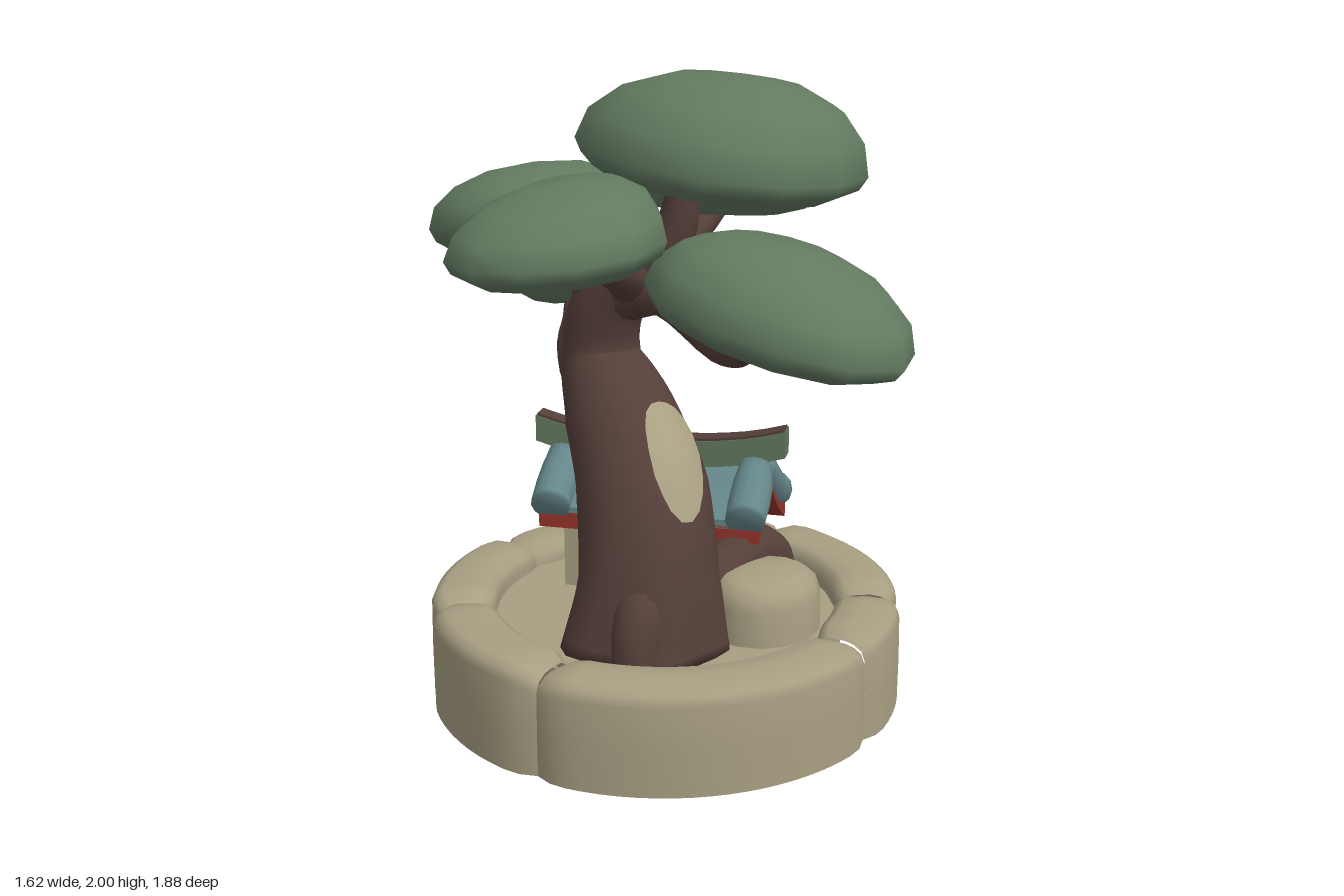
import * as THREE from 'three';

const flat = (color, name, double) => {
  const m = new THREE.MeshStandardMaterial({ color });
  m.name = name;
  if (double) m.side = THREE.DoubleSide;
  return m;
};
const V = (p) => new THREE.Vector3(...p);

// Position on a tube of varying radius, at a fraction along it and an angle around it
function tubePoint(curve, radii, t, a, offset = 0, lobes = 0) {
  const pts = curve.points, d = pts[pts.length - 1].clone().sub(pts[0]);
  const ref = Math.abs(d.x) > Math.abs(d.z) ? V([0, 0, -1]) : V([1, 0, 0]);
  const T = curve.getTangent(t);
  const S = ref.addScaledVector(T, -ref.dot(T)).normalize();
  const U = S.clone().cross(T);
  const k = t * (radii.length - 1), i = Math.min(Math.floor(k), radii.length - 2);
  let r = THREE.MathUtils.lerp(radii[i], radii[i + 1], k - i) + offset;
  r *= 1 + lobes * Math.cos(5 * a) * Math.max(0, 1 - t * 5);
  return curve.getPoint(t).addScaledVector(S, r * Math.cos(a)).addScaledVector(U, r * Math.sin(a));
}

// Grid of points joined into a smooth surface
function gridGeometry(rows, cols, pointAt) {
  const pos = [], idx = [];
  for (let i = 0; i <= rows; i++)
    for (let j = 0; j <= cols; j++) pos.push(...pointAt(i, j).toArray());
  for (let i = 0; i < rows; i++)
    for (let j = 0; j < cols; j++) {
      const a = i * (cols + 1) + j, b = a + cols + 1;
      idx.push(a, b, a + 1, b, b + 1, a + 1);
    }
  const g = new THREE.BufferGeometry();
  g.setAttribute('position', new THREE.Float32BufferAttribute(pos, 3));
  g.setIndex(idx);
  g.computeVertexNormals();
  return g;
}

// Closed tube along a path
function taperedTube(curve, radii, rows = 16, cols = 12, lobes = 0) {
  return gridGeometry(rows + 2, cols, (i, j) => {
    const t = THREE.MathUtils.clamp((i - 1) / rows, 0, 1);
    if (i === 0 || i === rows + 2) return curve.getPoint(t);
    return tubePoint(curve, radii, t, (j % cols) / cols * Math.PI * 2, 0, lobes);
  });
}
const path = (pts) => new THREE.CatmullRomCurve3(pts.map(V));

// Domed foliage cushion with a flatter underside and an off-centre peak
function padGeometry([hx, hz], up, down, [px, pz], seed) {
  const cols = 12, rows = 8;
  const g = new THREE.SphereGeometry(1, cols, rows), p = g.attributes.position;
  for (let i = 0; i < p.count; i++) {
    const x = p.getX(i), y = p.getY(i), z = p.getZ(i);
    const rad = Math.hypot(x, z), a = Math.atan2(z, x), lean = y > 0 ? y * y : 0;
    const f = (rad > 0.01 ? Math.pow(rad, y > 0 ? -0.16 : -0.35) : 1) * (1 + 0.035 * Math.sin(3 * a + seed) * rad);
    p.setXYZ(i, x * f * hx + lean * px, y * (y > 0 ? up : down), z * f * hz + lean * pz);
  }
  g.computeVertexNormals();
  // share the normals across the sphere's seam
  const n = g.attributes.normal;
  for (let r = 0; r <= rows; r++) {
    const a = r * (cols + 1), b = a + cols;
    const v = V([n.getX(a) + n.getX(b), n.getY(a) + n.getY(b), n.getZ(a) + n.getZ(b)]).normalize();
    n.setXYZ(a, v.x, v.y, v.z);
    n.setXYZ(b, v.x, v.y, v.z);
  }
  return g;
}

export function createModel() {
  const model = new THREE.Group();
  const stone = flat(0xa89f82, 'stone', true);
  const bark = flat(0x553f39, 'bark');
  const leaf = flat(0x627a60, 'foliage green');
  const tile = flat(0x65878a, 'roof blue');
  const red = flat(0x963429, 'eave red');
  const add = (parent, name, geo, mat) => {
    const m = new THREE.Mesh(geo, mat);
    m.name = name;
    parent.add(m);
    return m;
  };

  // Ring of planter stones, open underneath, each rounded off at its ends
  const ring = new THREE.Group();
  ring.name = 'stoneRing';
  ring.position.set(0.03, 0, -0.055);
  model.add(ring);
  const seams = [7, 38, 96, 184, 232, 282, 367];
  const section = [[0.773, 0], [0.773, 0.15], [0.77, 0.29], [0.757, 0.32], [0.73, 0.335],
    [0.65, 0.34], [0.59, 0.335], [0.562, 0.315], [0.555, 0.28], [0.555, 0]];
  for (let s = 0; s < seams.length - 1; s++) {
    const start = THREE.MathUtils.degToRad(seams[s]);
    const len = THREE.MathUtils.degToRad(seams[s + 1]) - start;
    const steps = Math.max(8, Math.round(len / 0.07));
    const g = new THREE.LatheGeometry(section.map((q) => new THREE.Vector2(...q)), steps, start, len);
    const p = g.attributes.position, n = section.length, lift = 0.01 * Math.sin(s * 2.3);
    for (let i = 0; i < p.count; i++) {
      const col = Math.floor(i / n), [r, y] = section[i % n];
      const edge = Math.min(col, steps - col);
      const shrink = edge === 0 ? 0.025 : edge === 1 ? 0.005 : 0;
      const k = (r + (r > 0.65 ? -shrink : shrink)) / r;
      p.setXYZ(i, p.getX(i) * k, y > 0.2 ? y + lift - shrink : y, p.getZ(i) * k);
    }
    g.computeVertexNormals();
    add(ring, 'ringStone', g, stone);
  }
  add(ring, 'floor', new THREE.CylinderGeometry(0.57, 0.57, 0.04, 40), stone).position.y = 0.24;

  // Leaning trunk with a lobed foot
  const trunkPath = path([[-0.22, 0.26, 0.08], [-0.2, 0.48, 0.08], [-0.135, 0.72, 0.0], [-0.04, 0.92, -0.19],
    [0, 1.09, -0.31], [0, 1.25, -0.28], [0.02, 1.38, -0.17], [0.06, 1.5, -0.05], [0.07, 1.72, 0]]);
  const trunkRadii = [0.26, 0.22, 0.21, 0.18, 0.13, 0.12, 0.1, 0.07, 0.045];
  add(model, 'trunk', taperedTube(trunkPath, trunkRadii, 40, 24, 0.08), bark);

  // Branches and roots
  const limbs = [
    ['frontBranch', [[0.01, 1.29, -0.27], [-0.01, 1.32, -0.02], [0, 1.2, 0.2], [-0.08, 1.23, 0.36], [-0.12, 1.34, 0.48]], [0.1, 0.062, 0.055, 0.045, 0.035]],
    ['smallFrontBranch', [[-0.01, 1.21, 0.22], [0.1, 1.22, 0.32], [0.22, 1.29, 0.43]], [0.04, 0.035, 0.03]],
    ['rightBranch', [[0.0, 1.32, -0.22], [0.18, 1.4, -0.2], [0.36, 1.47, -0.2], [0.5, 1.58, -0.2]], [0.085, 0.055, 0.045, 0.04]],
    ['leftBranch', [[0.02, 1.33, -0.18], [-0.14, 1.4, -0.08], [-0.3, 1.47, -0.02], [-0.42, 1.56, 0]], [0.08, 0.06, 0.045, 0.04]],
    ['backBranch', [[0, 1.22, -0.29], [-0.05, 1.36, -0.33], [-0.1, 1.52, -0.38]], [0.09, 0.055, 0.045]],
    ['lowBackBranch', [[-0.01, 0.98, -0.28], [0.04, 1.06, -0.46], [0.14, 1.15, -0.56], [0.23, 1.14, -0.66], [0.29, 1.22, -0.71]], [0.13, 0.07, 0.05, 0.045, 0.035]],
    ['archedRoot', [[-0.08, 0.36, 0.1], [0.14, 0.42, 0.12], [0.28, 0.44, 0.12], [0.37, 0.37, 0.12], [0.39, 0.2, 0.12]], [0.11, 0.09, 0.085, 0.08, 0.055]],
    ['sideRoot', [[-0.26, 0.5, 0.16], [-0.37, 0.41, 0.2], [-0.41, 0.2, 0.22]], [0.08, 0.08, 0.07]],
  ];
  for (const [name, pts, radii] of limbs) add(model, name, taperedTube(path(pts), radii), bark);

  // Bare wood patches hugging the front and back of the trunk
  const patch = (t0, a0, dt, da) => add(model, 'barePatch', gridGeometry(5, 18, (i, j) => {
    const a = -(j % 18) / 18 * Math.PI * 2, r = i / 5 * (1 + 0.06 * Math.sin(3 * a));
    return tubePoint(trunkPath, trunkRadii, t0 + dt * r * Math.sin(a), a0 + da * r * Math.cos(a), 0.008);
  }), stone);
  patch(0.268, Math.PI + 0.27, 0.07, 0.48);
  patch(0.53, 0.45, 0.02, 0.3);

  // Foliage cushions: position, half sizes, rise, drop, tilt about x and z, peak offset
  const pads = [
    ['topFoliage', [0.115, 1.75, 0.085], [0.395, 0.485], 0.25, 0.11, 0.1, -0.02, [0.05, 0.02]],
    ['frontFoliage', [-0.13, 1.36, 0.53], [0.33, 0.42], 0.2, 0.1, 0.19, -0.07, [0.02, -0.05]],
    ['leftFoliage', [-0.48, 1.55, 0], [0.33, 0.3], 0.17, 0.1, 0, 0.1, [0.1, 0]],
    ['rightFoliage', [0.48, 1.6, -0.19], [0.31, 0.34], 0.17, 0.1, -0.06, -0.1, [-0.04, 0.03]],
    ['backFoliage', [-0.13, 1.54, -0.47], [0.36, 0.31], 0.17, 0.11, -0.15, 0, [0, 0.03]],
    ['lowBackFoliage', [0.32, 1.265, -0.69], [0.26, 0.265], 0.15, 0.1, -0.3, -0.08, [0, 0]],
    ['smallFoliage', [0.25, 1.305, 0.45], [0.155, 0.2], 0.09, 0.08, 0.05, 0, [0, 0]],
  ];
  pads.forEach(([name, pos, half, up, down, rx, rz, peak], i) => {
    const m = add(model, name, padGeometry(half, up, down, peak, i * 1.9), leaf);
    m.position.set(...pos);
    m.rotation.set(rx, 0, rz);
  });

  // Rounded rock in front of the house
  const rock = add(model, 'rock', new THREE.LatheGeometry(
    [[0.215, 0.24], [0.21, 0.37], [0.19, 0.42], [0.15, 0.445], [0.07, 0.455], [0, 0.455]].map((q) => new THREE.Vector2(...q)), 14), stone);
  rock.position.set(0.14, 0, 0.28);
  rock.scale.set(0.92, 1, 0.8);

  // Small house set at an angle, its ridge along local z
  const house = new THREE.Group();
  house.name = 'house';
  house.position.set(0.19, 0, -0.22);
  house.rotation.y = 0.5;
  model.add(house);
  const extrude = (name, pts, half, mat) => {
    const g = new THREE.ExtrudeGeometry(new THREE.Shape(pts.map((q) => new THREE.Vector2(...q))),
      { depth: half * 2, bevelEnabled: false });
    g.translate(0, 0, -half);
    return add(house, name, g, mat);
  };
  extrude('walls', [[-0.12, 0.24], [0.22, 0.24], [0.22, 0.46], [0, 0.62], [-0.12, 0.53]], 0.31, stone);
  const slope = [[-0.19, 0.57], [-0.1, 0.63], [0, 0.72], [0.1, 0.63], [0.2, 0.555], [0.335, 0.48]];
  const layer = (top, bottom) => [...slope.map(([x, h]) => [x, h + bottom]),
    ...slope.map(([x, h]) => [x, h + top]).reverse()];
  extrude('redEaves', layer(-0.02, -0.075), 0.375, red);
  extrude('roofPanel', layer(0, -0.03), 0.36, tile);

  // Rounded tile rolls down both slopes
  for (const z of [-0.33, 0, 0.33]) {
    const roll = (pts) => add(house, 'tileRoll',
      taperedTube(path(pts.map(([x, y]) => [x, y, z])), [0.055, 0.068, 0.07, 0.066], 12, 12), tile);
    roll([[0.02, 0.71], [0.12, 0.62], [0.23, 0.55], [0.365, 0.495]]);
    roll([[-0.02, 0.71], [-0.08, 0.655], [-0.14, 0.615], [-0.21, 0.575]]);
  }

  // Ridge beam sweeping up at both ends, with a dark cap
  const beam = (name, w, h, y, half, mat) => {
    const g = new THREE.BoxGeometry(w, h, half * 2, 1, 1, 12), p = g.attributes.position;
    for (let i = 0; i < p.count; i++)
      p.setY(i, p.getY(i) + y + 0.055 * Math.pow(Math.abs(p.getZ(i)) / 0.43, 2.5));
    g.computeVertexNormals();
    add(house, name, g, mat);
  };
  beam('ridgeBeam', 0.075, 0.09, 0.735, 0.43, leaf);
  beam('ridgeCap', 0.065, 0.009, 0.784, 0.425, bark);
  return model;
}
